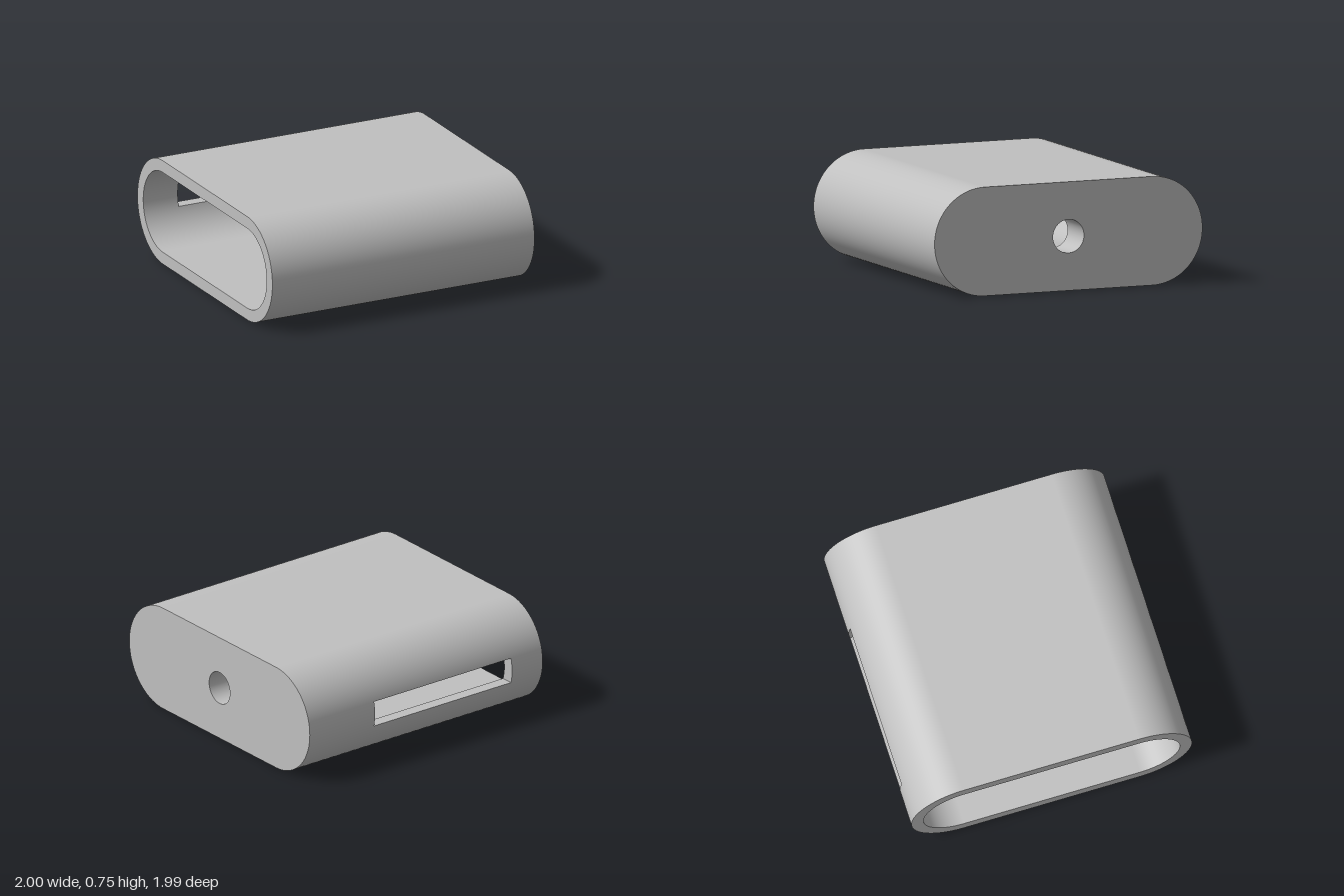
import * as THREE from 'three';

const R = 0.3725;        // outer end radius, half the height
const T = 0.085;         // wall thickness
const CZ = 0.6225;       // centre of the rounded edges
const CY = R;
const SLOT = { x0: -0.737, x1: 0.439, h: 0.09 };
const FLOOR_X = 0.73;    // inside face of the closed end
const BORE = 0.115;

// Arc points as [z, y, normalZ, normalY]
function arc(cz, r, a0, a1, n) {
  return Array.from({ length: n + 1 }, (_, i) => {
    const a = a0 + ((a1 - a0) * i) / n;
    return [cz + r * Math.cos(a), CY + r * Math.sin(a), Math.cos(a), Math.sin(a)];
  });
}

// Section of the rounded body: everything but the slot band, and the band itself
function section(r) {
  const e = Math.asin(SLOT.h / r), P = Math.PI;
  return {
    main: [...arc(-CZ, r, P + e, 1.5 * P, 24), ...arc(CZ, r, -P / 2, P / 2, 48), ...arc(-CZ, r, P / 2, P - e, 24)],
    band: arc(-CZ, r, P - e, P + e, 8),
  };
}

// Smooth wall along x; inward walls face the inside
function wall(points, x0, x1, inward = false) {
  const s = inward ? -1 : 1, pos = [], nor = [], idx = [];
  points.forEach(([z, y, nz, ny], i) => {
    pos.push(x0, y, z, x1, y, z);
    nor.push(0, s * ny, s * nz, 0, s * ny, s * nz);
    if (i === 0) return;
    const a = 2 * i - 2, b = a + 1, d = 2 * i, c = d + 1;
    if (inward) idx.push(a, c, b, a, d, c);
    else idx.push(a, b, c, a, c, d);
  });
  const g = new THREE.BufferGeometry();
  g.setAttribute('position', new THREE.Float32BufferAttribute(pos, 3));
  g.setAttribute('normal', new THREE.Float32BufferAttribute(nor, 3));
  g.setIndex(idx);
  return g;
}

// Flat face across x, facing dir (+1 or -1)
function face(outline, hole, x, dir) {
  const to2 = (pts) => pts.map(([z, y]) => new THREE.Vector2(-dir * z, y));
  const shape = new THREE.Shape(to2(outline));
  if (hole) shape.holes.push(new THREE.Path(to2(hole)));
  return new THREE.ShapeGeometry(shape).rotateY((dir * Math.PI) / 2).translate(x, 0, 0);
}

export function createModel() {
  const model = new THREE.Group();
  model.name = 'slottedSleeve';
  const grey = new THREE.MeshStandardMaterial({ color: 0xc0c0c0 });
  grey.name = 'grey';
  const add = (name, ...geometries) => {
    const part = new THREE.Group();
    part.name = name;
    geometries.forEach((g, i) => {
      const mesh = new THREE.Mesh(g, grey);
      mesh.name = geometries.length > 1 ? name + (i + 1) : name;
      part.add(mesh);
    });
    model.add(part);
  };

  const outer = section(R), inner = section(R - T);
  const loop = (s) => [...s.main, ...s.band.slice(1, -1)];
  const bore = arc(0, BORE, 0, 2 * Math.PI, 48);
  const boreLoop = bore.slice(0, -1);

  // Outer skin and cavity, interrupted by the slot on the back
  add('outerShell', wall(outer.main, -1, 1), wall(outer.band, -1, SLOT.x0), wall(outer.band, SLOT.x1, 1));
  add('cavityWall', wall(inner.main, -1, FLOOR_X, true), wall(inner.band, -1, SLOT.x0, true),
    wall(inner.band, SLOT.x1, FLOOR_X, true));

  // Open rim, thick closed end and the bore through it
  add('openRim', face(loop(outer), loop(inner), -1, -1));
  add('closedEnd', face(loop(outer), boreLoop, 1, 1), face(loop(inner), boreLoop, FLOOR_X, -1));
  add('boreWall', wall(bore, FLOOR_X, 1, true));

  // Cut faces of the slot: two ends, sill and lintel
  const cut = [...outer.band, ...[...inner.band].reverse()];
  const zo = outer.band[0][0], zi = inner.band[0][0];
  const ledge = (dir) => new THREE.PlaneGeometry(SLOT.x1 - SLOT.x0, zi - zo)
    .rotateX((-dir * Math.PI) / 2)
    .translate((SLOT.x0 + SLOT.x1) / 2, CY - dir * SLOT.h, (zo + zi) / 2);
  add('slotEnds', face(cut, null, SLOT.x0, 1), face(cut, null, SLOT.x1, -1));
  add('slotLedges', ledge(1), ledge(-1));

  return model;
}
